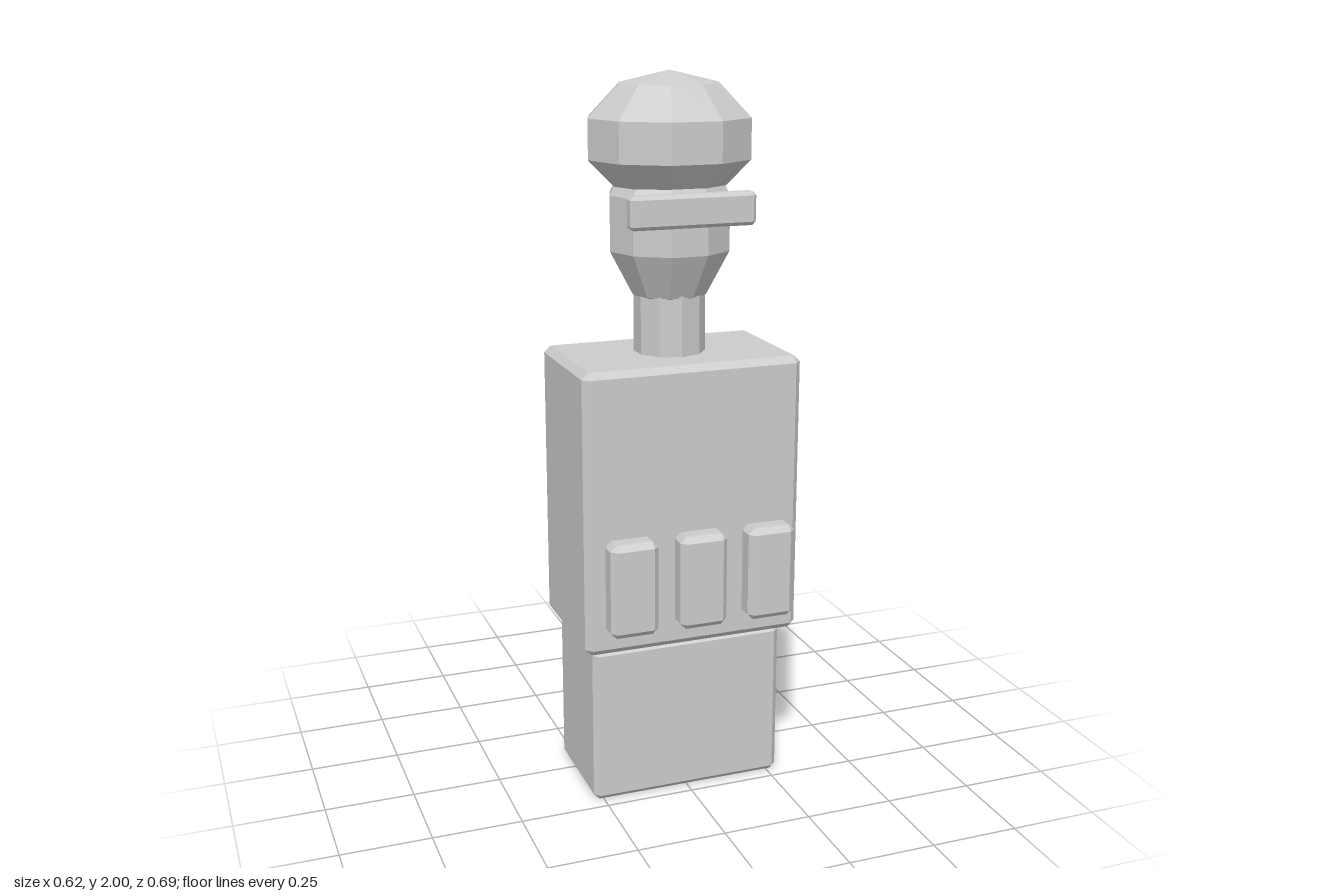
import * as THREE from 'three';
import { ConvexGeometry } from 'three/addons/geometries/ConvexGeometry.js';

const material = new THREE.MeshStandardMaterial({ color: 0xcccccc, flatShading: true });

// Box with every edge bevelled by c, given by its limits on each axis
function bevelledBox(name, [x0, x1], [y0, y1], [z0, z1], c) {
  const half = [(x1 - x0) / 2, (y1 - y0) / 2, (z1 - z0) / 2];
  const points = [];
  for (const sx of [-1, 1]) for (const sy of [-1, 1]) for (const sz of [-1, 1]) {
    for (let axis = 0; axis < 3; axis++) {
      const [x, y, z] = half.map((h, i) => (i === axis ? h : h - c));
      points.push(new THREE.Vector3(sx * x, sy * y, sz * z));
    }
  }
  const mesh = new THREE.Mesh(new ConvexGeometry(points), material);
  mesh.name = name;
  mesh.position.set((x0 + x1) / 2, (y0 + y1) / 2, (z0 + z1) / 2);
  return mesh;
}

// Faceted ball stretched along each axis
function facetedBall(name, y, z, rx, ry, rz) {
  const mesh = new THREE.Mesh(new THREE.SphereGeometry(1, 10, 5).scale(rx, ry, rz), material);
  mesh.name = name;
  mesh.position.set(0, y, z);
  return mesh;
}

export function createModel() {
  const model = new THREE.Group();
  model.name = 'figure';

  // Body blocks
  model.add(bevelledBox('hips', [-0.278, 0.278], [0, 0.456], [-0.102, 0.221], 0.016));
  model.add(bevelledBox('torso', [-0.31, 0.31], [0.46, 1.25], [-0.119, 0.262], 0.018));
  model.add(bevelledBox('backpack', [-0.226, 0.226], [0.425, 1.175], [-0.348, -0.123], 0.018));

  // Row of belt pouches
  for (const x of [-0.197, 0, 0.197]) {
    model.add(bevelledBox('pouch', [x - 0.067, x + 0.067], [0.537, 0.8], [0.272, 0.346], 0.016));
  }

  // Neck
  const neck = new THREE.Mesh(new THREE.CylinderGeometry(0.098, 0.098, 0.2, 10), material);
  neck.name = 'neck';
  neck.position.set(0, 1.33, 0.062);
  model.add(neck);

  // Head, cap and goggles
  model.add(facetedBall('head', 1.604, 0.061, 0.177, 0.24, 0.171));
  model.add(facetedBall('cap', 1.826, 0.06, 0.238, 0.174, 0.2235));
  model.add(bevelledBox('goggles', [-0.174, 0.174], [1.609, 1.697], [0.207, 0.252], 0.01));

  return model;
}
